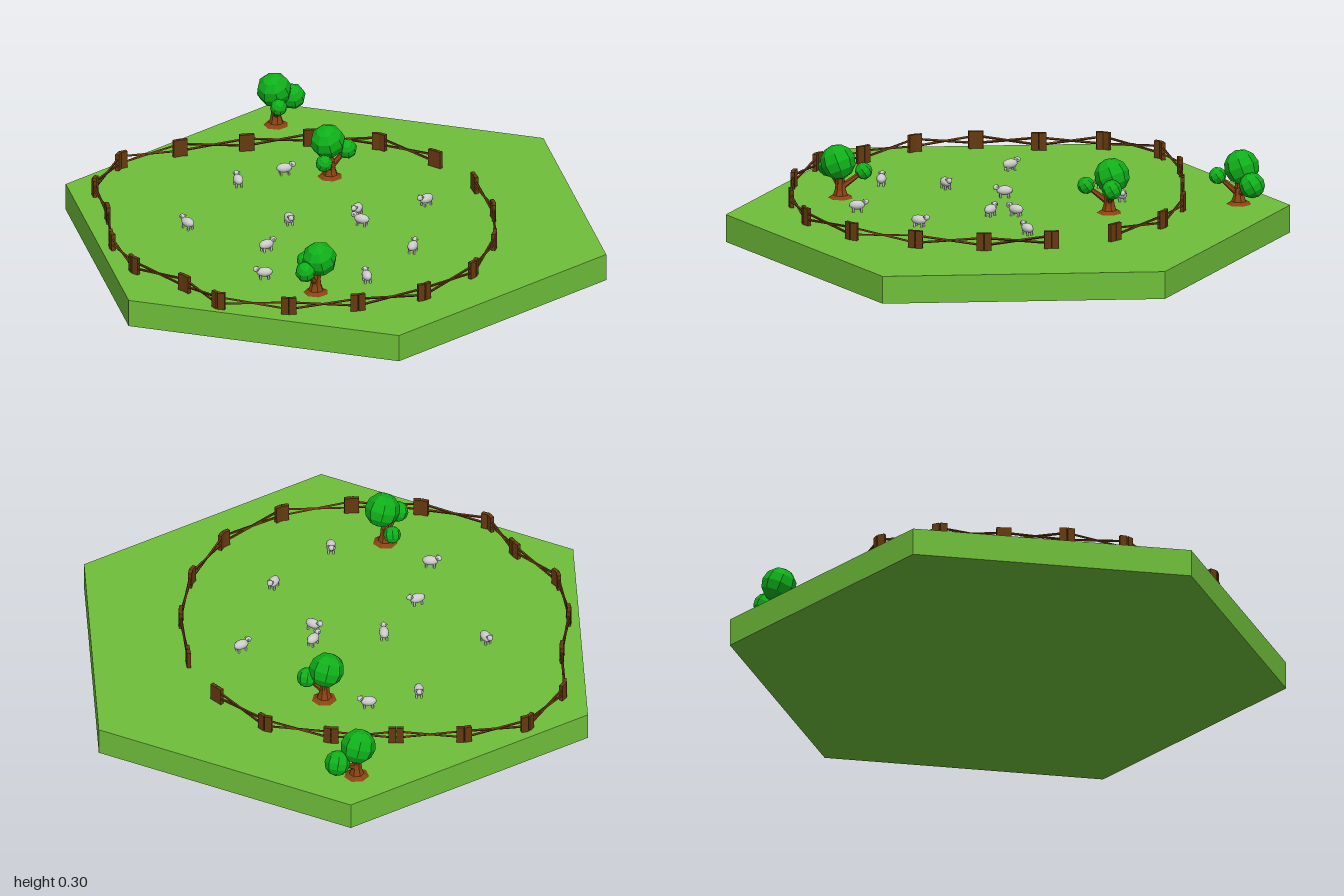
import * as THREE from 'three';

const GROUND = 0.1;
const mat = (color) => new THREE.MeshStandardMaterial({ color, flatShading: true });
const grass = mat(0x6fbf3a), leaf = mat(0x0fb01a), bark = mat(0x8a4312), wood = mat(0x663a10);
const wool = new THREE.MeshStandardMaterial({ color: 0xcccccc });

function add(parent, name, geometry, material, x = 0, y = 0, z = 0) {
  const mesh = new THREE.Mesh(geometry, material);
  mesh.name = name;
  mesh.position.set(x, y, z);
  parent.add(mesh);
  return mesh;
}

// Tapered limb or bar running between two points
function limb(parent, name, a, b, r0, r1, sides, material) {
  const dir = b.clone().sub(a);
  const mesh = add(parent, name, new THREE.CylinderGeometry(r1, r0, dir.length(), sides), material);
  mesh.position.copy(a).addScaledVector(dir, 0.5);
  mesh.quaternion.setFromUnitVectors(new THREE.Vector3(0, 1, 0), dir.normalize());
}

// Tree: flared trunk, a branch to every ball of leaves; crowns are [x, y, z, radius]
function makeTree(x, z, crowns) {
  const tree = new THREE.Group();
  tree.name = 'tree';
  const flare = [[0.045, 0], [0.027, 0.01], [0.02, 0.03], [0.017, 0.06], [0, 0.066]]
    .map(([r, y]) => new THREE.Vector2(r, y));
  add(tree, 'trunk', new THREE.LatheGeometry(flare, 7), bark, x, GROUND, z);
  crowns.forEach(([cx, cy, cz, r], i) => {
    const from = new THREE.Vector3(x, GROUND + (i ? 0.035 : 0.05), z);
    limb(tree, 'branch', from, new THREE.Vector3(cx, cy, cz), i ? 0.012 : 0.017, i ? 0.007 : 0.012, 6, bark);
    const ball = add(tree, 'foliage', new THREE.SphereGeometry(r, 8, 6), leaf, cx, cy, cz);
    ball.rotation.set(0.35, i * 0.8, 0.25);
  });
  return tree;
}

// Sheep: egg-shaped body, small head and four stub legs, facing local +z
function makeSheep(x, z, hx, hz) {
  const sheep = new THREE.Group();
  sheep.name = 'sheep';
  add(sheep, 'body', new THREE.SphereGeometry(1, 12, 8), wool, 0, 0.025, -0.004).scale.set(0.018, 0.017, 0.029);
  add(sheep, 'head', new THREE.SphereGeometry(1, 10, 8), wool, 0, 0.036, 0.026).scale.set(0.01, 0.01, 0.012);
  for (const sx of [-1, 1]) {
    add(sheep, 'ear', new THREE.SphereGeometry(0.004, 6, 4), wool, sx * 0.01, 0.04, 0.021);
    for (const lz of [-0.018, 0.011])
      add(sheep, 'leg', new THREE.CylinderGeometry(0.004, 0.004, 0.018, 6), wool, sx * 0.009, 0.009, lz);
  }
  sheep.position.set(x, GROUND, z);
  sheep.rotation.y = Math.atan2(hx, hz);
  return sheep;
}

// Fence: paired planks at each stop, crossed rails between stops
function makeFence(stops) {
  const fence = new THREE.Group();
  fence.name = 'fence';
  const pts = stops.map(([x, z]) => new THREE.Vector3(x, 0, z));
  const last = pts.length - 1;
  pts.forEach((p, i) => {
    for (const side of [-1, 1]) {
      const j = i + side;
      const d = (j < 0 || j > last) ? p.clone().sub(pts[i - side]) : pts[j].clone().sub(p);
      d.normalize().multiplyScalar(0.0135);
      const plank = add(fence, 'fencePlank', new THREE.BoxGeometry(0.026, 0.063, 0.014), wood,
        p.x + d.x, GROUND + 0.033, p.z + d.z);
      plank.rotation.y = Math.atan2(-d.z, d.x);
    }
    if (i === last) return;
    for (const [y0, y1] of [[0.02, 0.047], [0.047, 0.02]]) {
      const a = p.clone().setY(GROUND + y0), b = pts[i + 1].clone().setY(GROUND + y1);
      limb(fence, 'fenceRail', a, b, 0.0045, 0.0045, 4, wood);
    }
  });
  return fence;
}

export function createModel() {
  const model = new THREE.Group();
  model.name = 'sheepPasture';

  // Hexagonal ground tile with corners at front and back
  add(model, 'groundTile', new THREE.CylinderGeometry(1, 1, GROUND, 6), grass, 0, GROUND / 2, 0);

  model.add(makeFence([
    [0.44, -0.35], [0.28, -0.535], [0.05, -0.62], [-0.18, -0.63], [-0.42, -0.64], [-0.65, -0.585],
    [-0.79, -0.39], [-0.79, -0.16], [-0.83, 0.06], [-0.8, 0.28], [-0.655, 0.47], [-0.575, 0.64],
    [-0.34, 0.74], [-0.095, 0.765], [0.155, 0.73], [0.37, 0.58], [0.495, 0.36], [0.545, 0.12], [0.53, -0.12],
  ]));

  model.add(
    makeTree(-0.03, -0.82, [[-0.035, 0.233, -0.83, 0.063], [0.04, 0.185, -0.862, 0.046], [-0.038, 0.202, -0.745, 0.031]]),
    makeTree(0.06, -0.355, [[0.053, 0.233, -0.365, 0.063], [0.122, 0.2, -0.36, 0.036], [0.02, 0.19, -0.275, 0.031]]),
    makeTree(-0.205, 0.58, [[-0.195, 0.233, 0.59, 0.063], [-0.252, 0.202, 0.62, 0.037], [-0.225, 0.19, 0.497, 0.031]]),
  );

  // Flock: position x, z and heading x, z
  for (const s of [
    [-0.275, -0.355, 0, -1], [-0.09, -0.41, 1, 0], [-0.53, -0.045, -0.5, -1], [-0.17, 0.005, 0, 1],
    [0.08, -0.02, -0.6, 0.8], [0.075, 0.065, -0.8, -0.6], [0.335, -0.045, -0.9, 0.5], [-0.295, 0.2, 1, -0.4],
    [-0.36, 0.425, -1, -0.15], [0.205, 0.325, 0.5, -0.9], [-0.01, 0.53, 0, -1],
  ]) model.add(makeSheep(...s));

  return model;
}
